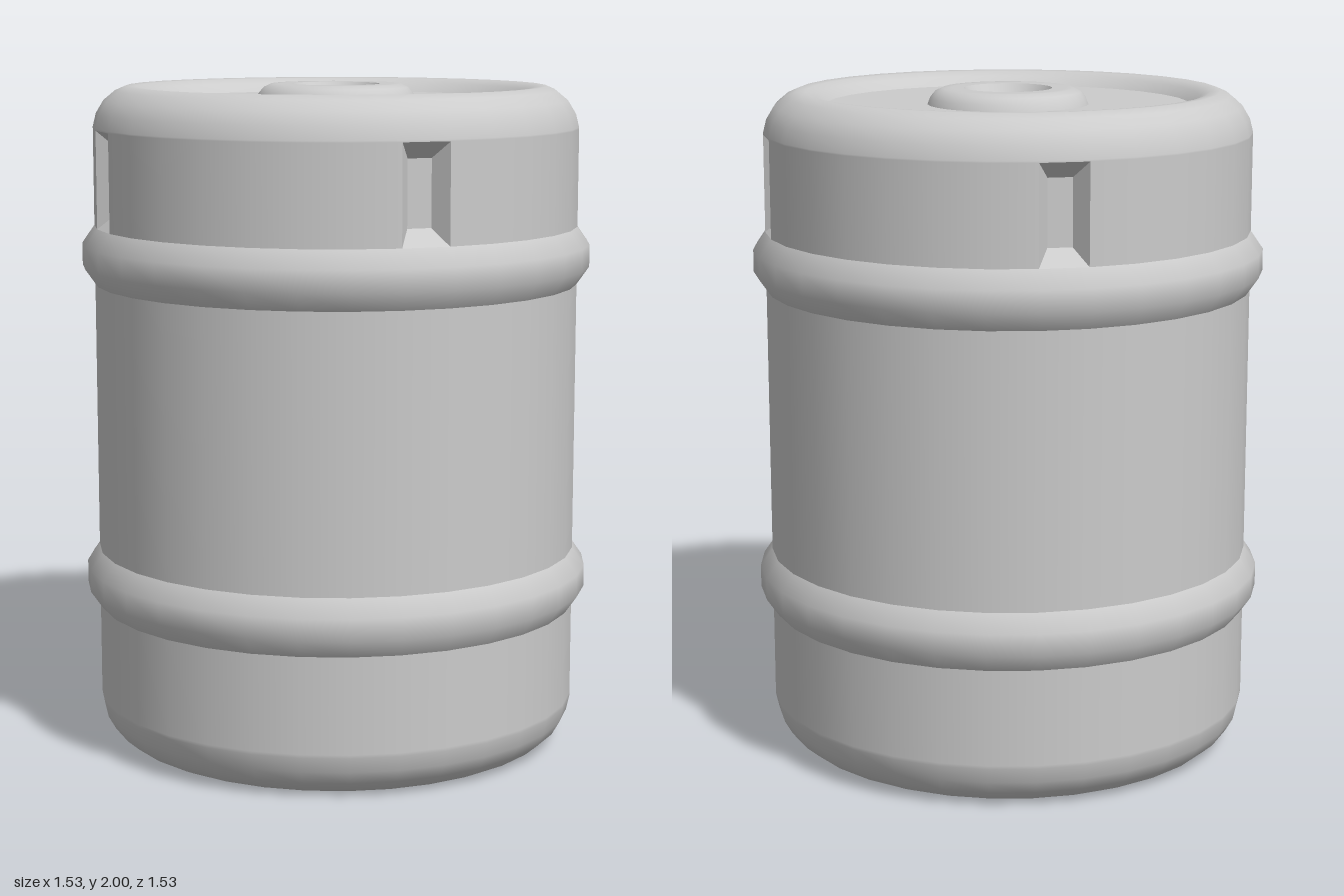
import * as THREE from 'three';

const SIDES = 32;
const STEP = (Math.PI * 2) / SIDES;
const R = 0.728;          // body radius
const Y0 = 1.58, Y1 = 1.87; // collar band that holds the handle recesses

const material = new THREE.MeshStandardMaterial({ color: 0xcccccc });

export function createModel() {
  const keg = new THREE.Group();
  keg.name = 'keg';

  const add = (name, geometry) => {
    const mesh = new THREE.Mesh(geometry, material);
    mesh.name = name;
    keg.add(mesh);
    return mesh;
  };
  // Each profile is smooth along its length; edges between profiles stay sharp
  const lathe = (name, profile, segments = SIDES, start = 0) =>
    add(name, new THREE.LatheGeometry(
      profile.map(([r, y]) => new THREE.Vector2(r, y)), segments, start, segments * STEP));

  // Base: recessed floor and rounded foot
  lathe('baseFloor', [[0, 0.045], [0.543, 0.045]]);
  lathe('foot', [
    [0.543, 0.045], [0.57, 0.018], [0.6, 0.004], [0.63, 0.001], [0.66, 0.015],
    [0.695, 0.045], [0.718, 0.085], [R, 0.13], [R, 0.14], [R, 0.428],
  ]);

  // Body wall and the two rolling rings
  lathe('bodyWall', [[R, 0.598], [R, 1.408]]);
  for (const [name, y] of [['lowerRing', 0.513], ['upperRing', 1.494]]) {
    lathe(name, [[R, y - 0.086], [0.765, y - 0.033], [0.765, y + 0.033], [R, y + 0.086]]);
  }

  // Collar: four wall spans, each followed by a one-facet handle recess
  for (let k = 0; k < 4; k++) {
    lathe('collarWall', [[R, Y0], [R, Y1]], 7, (k * 8 + 1) * STEP);
    const recess = add('handleRecess', recessGeometry());
    recess.rotation.y = (k * 8 + 0.5) * STEP;
  }

  // Rounded top rim and recessed lid
  lathe('topRim', [
    [R, Y1], [R, 1.875], [0.718, 1.915], [0.695, 1.953], [0.66, 1.982],
    [0.63, 1.995], [0.6, 1.993], [0.57, 1.98], [0.543, 1.953],
  ]);
  lathe('lid', [[0.543, 1.953], [0.24, 1.953]]);

  // Valve neck in the middle of the lid
  lathe('neck', [[0.24, 1.953], [0.232, 1.972], [0.217, 1.99], [0.195, 2], [0.17, 2], [0.131, 2]]);
  lathe('neckBore', [[0.131, 2], [0.11, 1.968]]);
  lathe('valveFloor', [[0.11, 1.968], [0, 1.968]]);

  return keg;
}

// Tapered pocket filling one facet of the collar, facing +z
function recessGeometry() {
  const w = R * Math.sin(STEP / 2);
  const z = R * Math.cos(STEP / 2);
  const corners = (halfWidth, bottom, top, depth) => [
    -halfWidth, bottom, depth, halfWidth, bottom, depth,
    halfWidth, top, depth, -halfWidth, top, depth,
  ];
  const positions = [...corners(w, Y0, Y1, z), ...corners(0.036, 1.628, 1.822, z - 0.052)];
  const index = [4, 5, 6, 4, 6, 7]; // back panel
  for (let i = 0; i < 4; i++) {
    const j = (i + 1) % 4;
    index.push(i, j, j + 4, i, j + 4, i + 4); // sloping side
  }
  const geometry = new THREE.BufferGeometry();
  geometry.setAttribute('position', new THREE.Float32BufferAttribute(positions, 3));
  geometry.setIndex(index);
  const flat = geometry.toNonIndexed();
  flat.computeVertexNormals();
  return flat;
}
